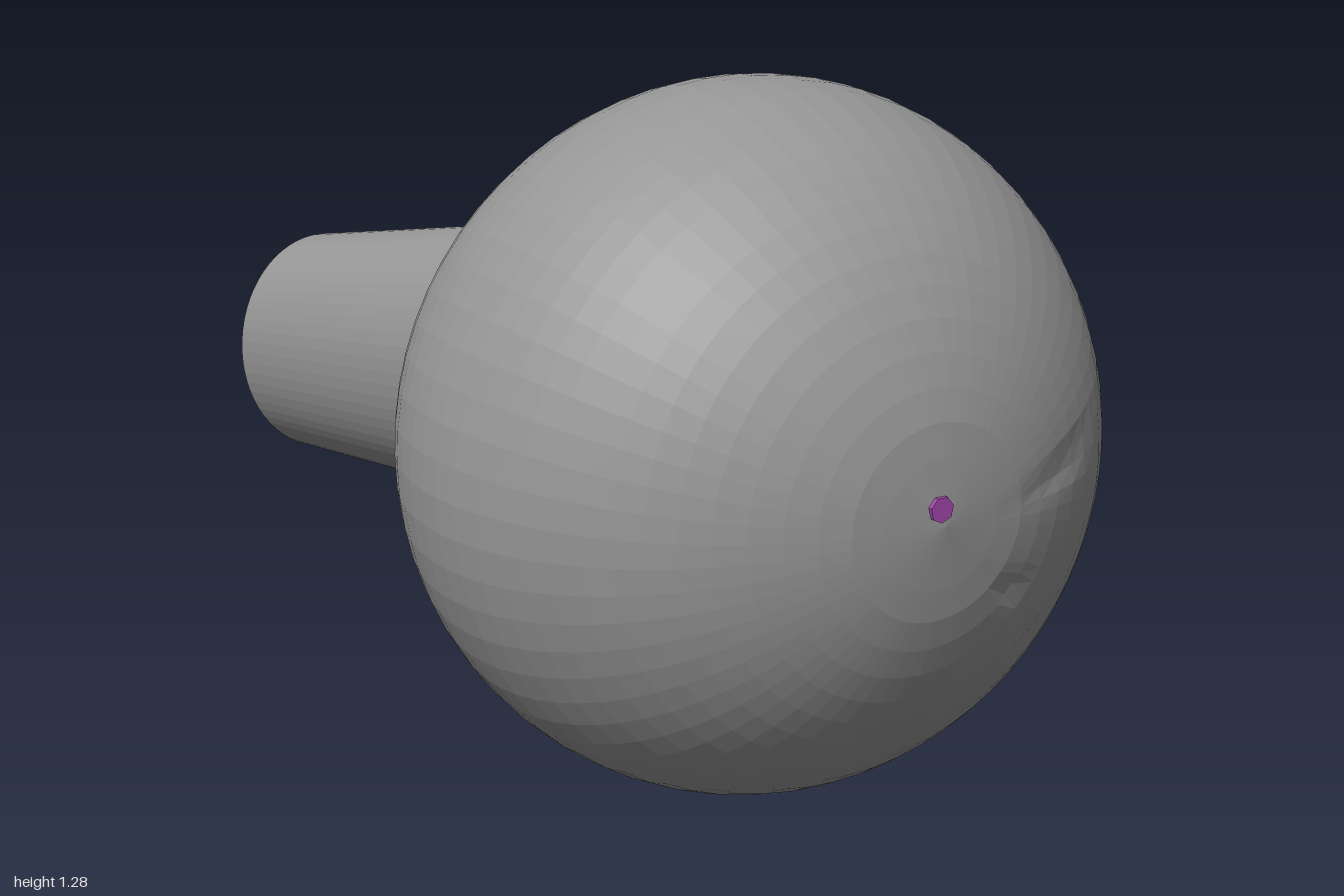
import * as THREE from 'three';

const grey = new THREE.MeshStandardMaterial({ color: 0x969696, flatShading: true });
grey.name = 'grey';
const purple = new THREE.MeshStandardMaterial({ color: 0xa347ad, flatShading: true });
purple.name = 'purple';

const CENTRE = new THREE.Vector3(0, 0.64, 0.42);
const RADIUS = new THREE.Vector3(0.64, 0.64, 0.577);

// Shallow dents on the front: x, y, half length, half width, tilt
const DENTS = [
  [0.29, 0.68, 0.1, 0.025, 0.25],
  [0.17, 0.49, 0.04, 0.025, -0.6],
  [0.3, 0.36, 0.05, 0.025, 0.6],
];

function dentDepth(x, y) {
  let depth = 0;
  for (const [cx, cy, a, b, tilt] of DENTS) {
    const c = Math.cos(tilt), s = Math.sin(tilt);
    const u = ((x - cx) * c + (y - cy) * s) / a;
    const v = ((y - cy) * c - (x - cx) * s) / b;
    depth += 0.008 * Math.exp(-(u * u + v * v));
  }
  return depth;
}

// Ball with its poles along z; a tilted patch at the back is purple
function makeBall() {
  const geo = new THREE.SphereGeometry(1, 64, 36).rotateX(Math.PI / 2).toNonIndexed();
  const p = geo.attributes.position;
  const tip = CENTRE.z + RADIUS.z;
  const flat = 0.15;
  const edge = CENTRE.z + RADIUS.z * Math.sqrt(1 - (flat / RADIUS.x) ** 2);
  const v = new THREE.Vector3();
  for (let i = 0; i < p.count; i++) {
    v.fromBufferAttribute(p, i).multiply(RADIUS).add(CENTRE);
    if (v.z > CENTRE.z) {
      const r = Math.hypot(v.x, v.y - CENTRE.y);
      if (r < flat) v.z = tip + (edge - tip) * (r / flat);   // nearly flat front disc
      v.z -= dentDepth(v.x, v.y);
    }
    p.setXYZ(i, v.x, v.y, v.z);
  }
  // Sort whole faces into the two colours
  const faces = [[], []];
  for (let i = 0; i < p.count; i += 3) {
    const mid = [0, 0, 0];
    for (let k = 0; k < 3; k++) {
      mid[0] += p.getX(i + k) / 3;
      mid[1] += p.getY(i + k) / 3;
      mid[2] += p.getZ(i + k) / 3;
    }
    const inPatch = mid[2] < CENTRE.z &&
      ((mid[0] + 0.05) / 0.45) ** 2 + ((mid[1] - 0.595) / 0.395) ** 2 < 1;
    faces[inPatch ? 1 : 0].push(i, i + 1, i + 2);
  }
  geo.setIndex([...faces[0], ...faces[1]]);
  geo.addGroup(0, faces[0].length, 0);
  geo.addGroup(faces[0].length, faces[1].length, 1);
  geo.computeVertexNormals();
  const mesh = new THREE.Mesh(geo, [grey, purple]);
  mesh.name = 'ball';
  return mesh;
}

// Slanted, tapering oval stalk cut square at the far end
function makeStalk() {
  const geo = new THREE.CylinderGeometry(1, 1, 1, 64, 1).rotateX(Math.PI / 2);
  const p = geo.attributes.position;
  const mix = THREE.MathUtils.lerp;
  for (let i = 0; i < p.count; i++) {
    const t = p.getZ(i) + 0.5;   // 0 at the far end, 1 inside the ball
    p.setXYZ(i,
      mix(-0.235, 0.018, t) + p.getX(i) * mix(0.195, 0.25, t),
      mix(0.525, 0.665, t) + p.getY(i) * mix(0.245, 0.313, t),
      mix(-1, 0.1, t));
  }
  geo.computeVertexNormals();
  const mesh = new THREE.Mesh(geo, grey);
  mesh.name = 'stalk';
  return mesh;
}

export function createModel() {
  const model = new THREE.Group();
  model.name = 'ballOnStalk';

  // Small purple dot near the front pole
  const dot = new THREE.Mesh(new THREE.CylinderGeometry(0.022, 0.022, 0.008, 7).rotateX(Math.PI / 2), purple);
  dot.name = 'frontDot';
  dot.position.set(-0.01, 0.67, 0.996);

  model.add(makeBall(), makeStalk(), dot);
  return model;
}
